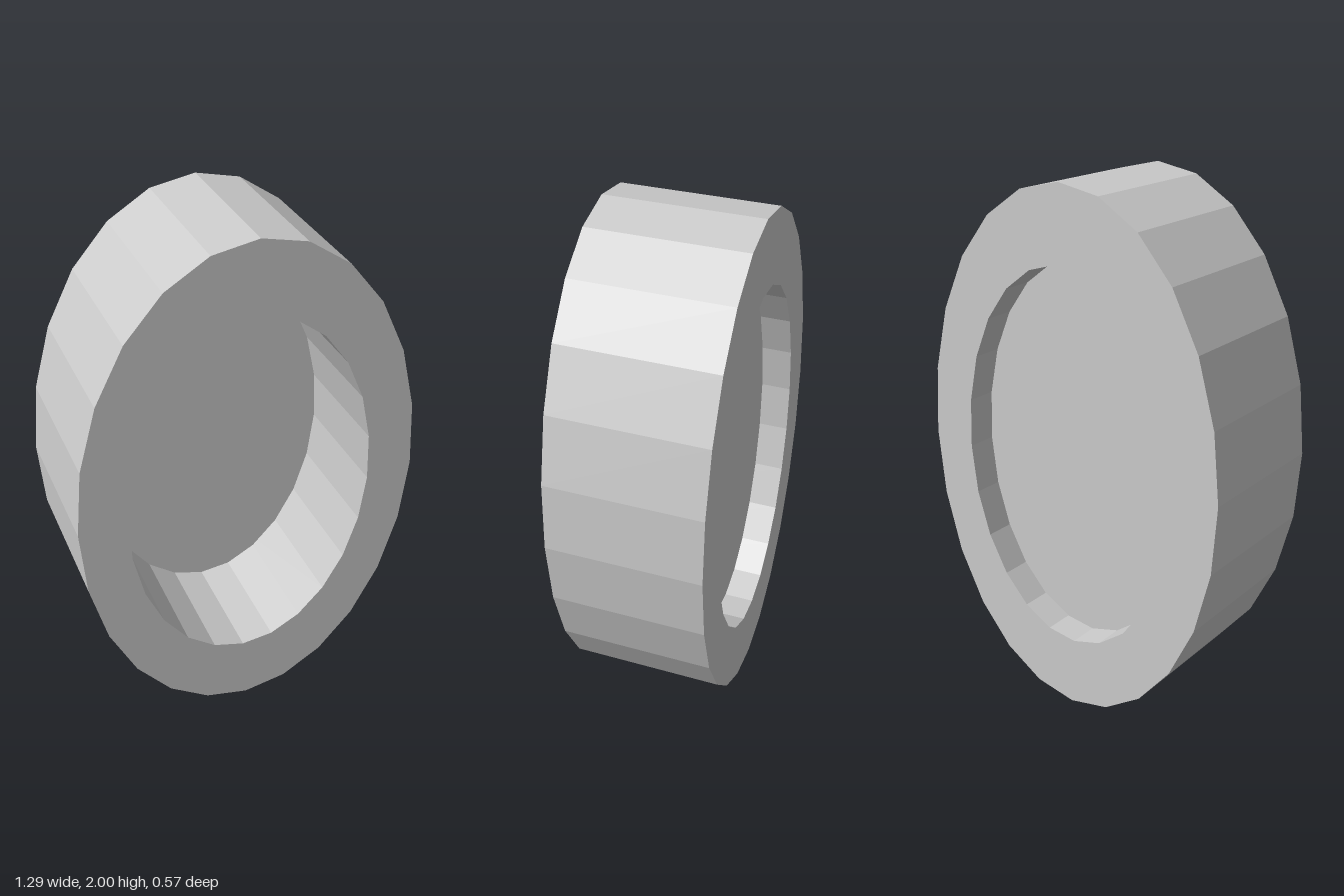
import * as THREE from 'three';

const SIDES = 24;
const DEPTH = 0.566;

// Corners of a 24-sided ellipse, turned slightly clockwise from the axes
function ellipsePoints(rx, ry, turn) {
  return Array.from({ length: SIDES }, (_, i) => {
    const a = (i / SIDES) * Math.PI * 2 - turn;
    return new THREE.Vector2(Math.cos(a) * rx, Math.sin(a) * ry);
  });
}

export function createModel() {
  const group = new THREE.Group();
  group.name = 'ovalFrame';
  const outer = ellipsePoints(0.644, 1, 0.02);
  const inner = ellipsePoints(0.466, 0.725, 0.06);

  // Thick oval ring
  const ringShape = new THREE.Shape(outer);
  ringShape.holes.push(new THREE.Path(inner));
  const ring = new THREE.Mesh(
    new THREE.ExtrudeGeometry(ringShape, { depth: DEPTH, bevelEnabled: false }),
    new THREE.MeshStandardMaterial({ color: 0xcccccc, flatShading: true })
  );
  ring.name = 'ring';
  ring.position.set(0, 1, -DEPTH / 2);

  // Thin panel filling the opening, set near the back
  const panel = new THREE.Mesh(
    new THREE.ShapeGeometry(new THREE.Shape(inner)),
    new THREE.MeshStandardMaterial({ color: 0xcccccc, flatShading: true, side: THREE.DoubleSide })
  );
  panel.name = 'panel';
  panel.position.set(0, 1, -0.17);

  group.add(ring, panel);
  return group;
}
